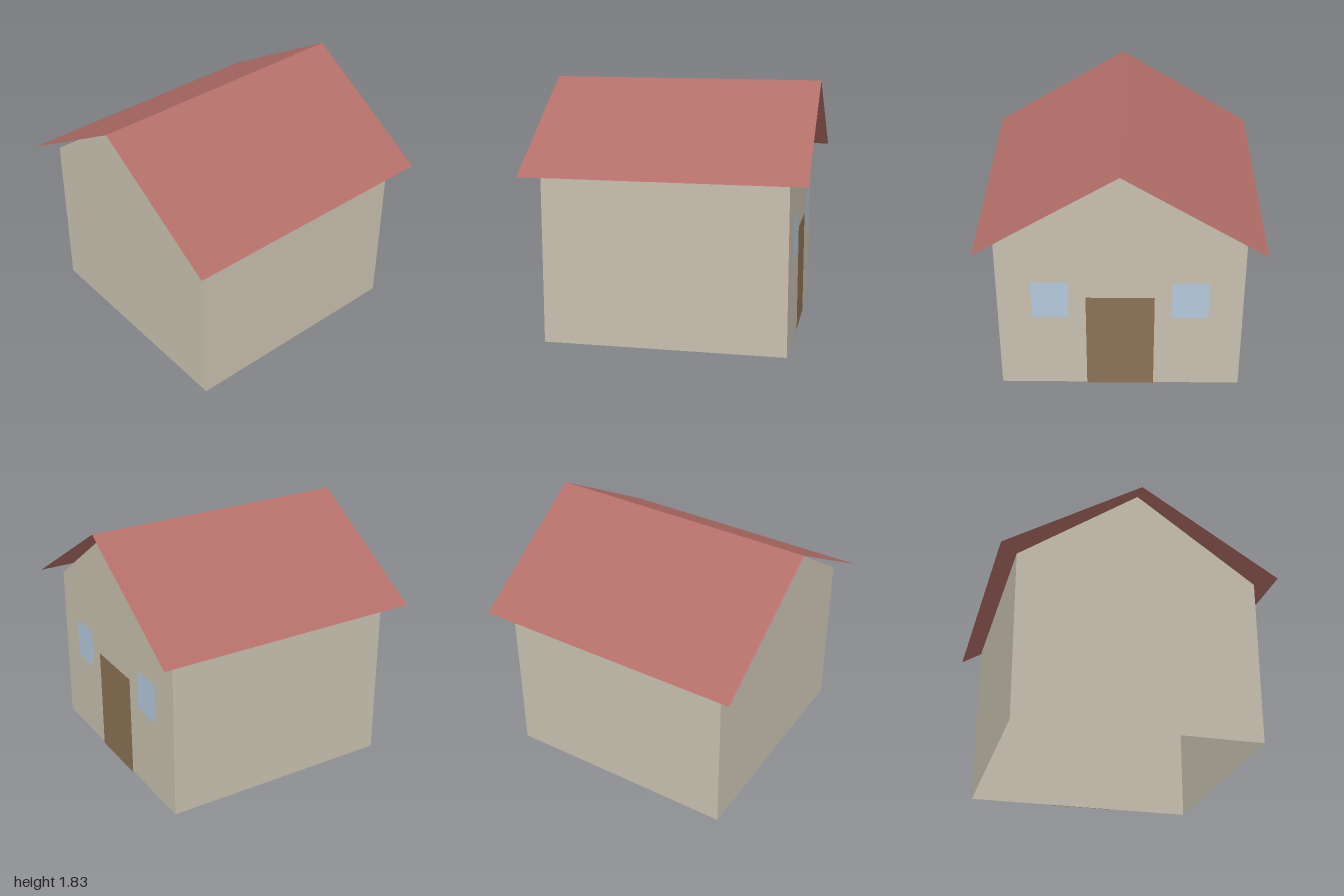
import * as THREE from 'three';

const HALF = 0.87;      // half width of the walls
const EAVE = 1.22;      // top of the side walls
const RIDGE = 1.83;     // top of the gables and roof
const OVERHANG = 1;     // half width of the roof
const PLATE = 0.009;    // distance of door and windows from the wall

const flat = (name, color) => {
  const m = new THREE.MeshStandardMaterial({ color, side: THREE.DoubleSide });
  m.name = name;
  return m;
};

export function createModel() {
  const wallPaint = flat('wall beige', 0xc8c0b0);
  const roofPaint = flat('roof red', 0xb36e68);
  const doorPaint = flat('door brown', 0x8b7355);
  const glass = flat('window blue', 0xb4c8dc);

  const house = new THREE.Group();
  house.name = 'house';
  const add = (name, geometry, material, x = 0, y = 0, z = 0, turn = 0) => {
    const mesh = new THREE.Mesh(geometry, material);
    mesh.name = name;
    mesh.position.set(x, y, z);
    mesh.rotation.y = turn;
    house.add(mesh);
  };

  // Gable walls: thin pentagons at the front and back
  const gable = new THREE.ShapeGeometry(new THREE.Shape([
    [-HALF, 0], [HALF, 0], [HALF, EAVE], [0, RIDGE], [-HALF, EAVE],
  ].map(([x, y]) => new THREE.Vector2(x, y))));
  add('frontWall', gable, wallPaint, 0, 0, HALF);
  add('backWall', gable, wallPaint, 0, 0, -HALF, Math.PI);

  // Side walls and roof slopes, mirrored; the shell has no floor or ceiling
  const sideWall = new THREE.PlaneGeometry(2 * HALF, EAVE);
  const drop = RIDGE - EAVE;
  for (const [side, label] of [[1, 'left'], [-1, 'right']]) {
    add(label + 'Wall', sideWall, wallPaint, side * HALF, EAVE / 2, 0, side * Math.PI / 2);

    const slope = new THREE.PlaneGeometry(Math.hypot(OVERHANG, drop), 2 * OVERHANG);
    slope.rotateX(-Math.PI / 2);
    slope.rotateZ(-side * Math.atan2(drop, OVERHANG));
    add(label + 'Roof', slope, roofPaint, side * OVERHANG / 2, (RIDGE + EAVE) / 2, 0);
  }

  // Door and windows on the back wall
  const z = -HALF - PLATE;
  add('door', new THREE.PlaneGeometry(0.487, 0.783), doorPaint, 0, 0.3915, z, Math.PI);
  const pane = new THREE.PlaneGeometry(0.26, 0.304);
  add('leftWindow', pane, glass, 0.497, 0.762, z, Math.PI);
  add('rightWindow', pane, glass, -0.497, 0.762, z, Math.PI);

  return house;
}
